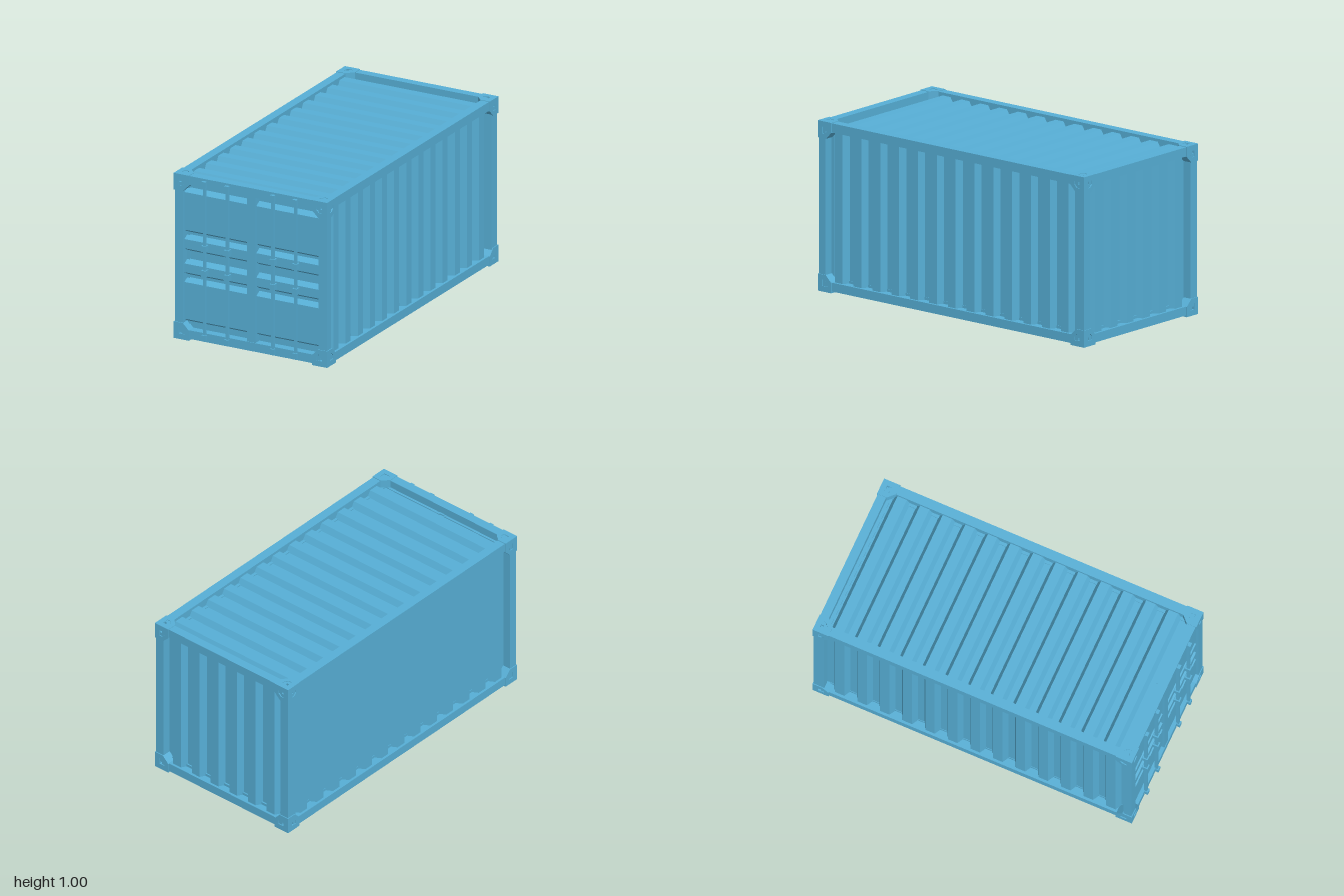
import * as THREE from 'three';
import { mergeGeometries } from 'three/addons/utils/BufferGeometryUtils.js';
import { ConvexGeometry } from 'three/addons/geometries/ConvexGeometry.js';

const V = (x, y, z) => new THREE.Vector3(x, y, z);

// Moves a geometry onto new axes; keeps faces outward when the axes are mirrored
function place(geometry, a, b, c, origin) {
  const g = geometry.index ? geometry.toNonIndexed() : geometry.clone();
  for (const key of Object.keys(g.attributes)) if (key !== 'position') g.deleteAttribute(key);
  g.clearGroups();
  const m = new THREE.Matrix4().makeBasis(a, b, c).setPosition(origin);
  g.applyMatrix4(m);
  if (m.determinant() < 0) {
    const p = g.attributes.position;
    const v1 = V(), v2 = V();
    for (let i = 0; i < p.count; i += 3) {
      v1.fromBufferAttribute(p, i + 1);
      v2.fromBufferAttribute(p, i + 2);
      p.setXYZ(i + 1, v2.x, v2.y, v2.z);
      p.setXYZ(i + 2, v1.x, v1.y, v1.z);
    }
  }
  g.computeVertexNormals();
  return g;
}

const extrude = (shape, depth) => new THREE.ExtrudeGeometry(shape, { depth, bevelEnabled: false });
const polygon = pts => new THREE.Shape(pts.map(p => new THREE.Vector2(p[0], p[1])));

// Trapezoidal profile: raised ribs at the given [start, end] flats, with sloped flanks
function ribProfile(from, to, ribs, rise, slope) {
  const pts = [[from, -0.02], [from, 0]];
  for (const [a, b] of ribs) pts.push([a - slope, 0], [a, rise], [b, rise], [b + slope, 0]);
  pts.push([to, 0], [to, -0.02]);
  return polygon(pts);
}

function evenRibs(centre, count) {
  const pitch = 0.1405, half = 0.029;
  return Array.from({ length: count }, (_, i) => {
    const c = centre + (i - (count - 1) / 2) * pitch;
    return [c - half, c + half];
  });
}

// Corner casting in local coordinates: 0 is the outer face, 0.1 the inner one
function castingGeometry() {
  const t = 0.02, pts = [];
  for (const [a, b, c] of [[t, t, t], [0.1, t, t], [0.1, 0.06, t], [0.1, t, 0.06], [0.1, 0.06, 0.06], [0.08, 0.08, 0.08]]) {
    pts.push(V(a, b, c), V(c, a, b), V(b, c, a));
  }
  const unique = pts.filter((p, i) => pts.findIndex(q => q.distanceTo(p) < 1e-6) === i);
  const X = V(1, 0, 0), Y = V(0, 1, 0), Z = V(0, 0, 1), O = V(0, 0, 0);
  const parts = [place(new ConvexGeometry(unique), X, Y, Z, O)];
  // Three outer plates, each with a lifting hole
  const face = polygon([[0, 0], [0.1, 0], [0.1, 0.06], [0.06, 0.1], [0, 0.1]]);
  const hole = [[0.033, 0.033], [0.033, 0.071], [0.054, 0.071], [0.071, 0.054], [0.071, 0.033]];
  face.holes.push(new THREE.Path(hole.map(p => new THREE.Vector2(p[0], p[1]))));
  const plate = extrude(face, t);
  parts.push(place(plate, X, Y, Z, O), place(plate, Y, Z, X, O), place(plate, Z, X, Y, O));
  return mergeGeometries(parts);
}

export function createModel() {
  const model = new THREE.Group();
  model.name = 'shippingContainer';
  const paint = new THREE.MeshStandardMaterial({ color: 0x56aed5 });
  paint.name = 'container blue';

  const add = (name, geometry, parent = model) => {
    const mesh = new THREE.Mesh(geometry, paint);
    mesh.name = name;
    parent.add(mesh);
    return mesh;
  };
  const box = (name, x0, x1, y0, y1, z0, z1, parent) => {
    const mesh = add(name, new THREE.BoxGeometry(x1 - x0, y1 - y0, z1 - z0), parent);
    mesh.position.set((x0 + x1) / 2, (y0 + y1) / 2, (z0 + z1) / 2);
  };

  // Corner castings
  const casting = castingGeometry();
  for (const sx of [-1, 1]) for (const sy of [-1, 1]) for (const sz of [-1, 1]) {
    add('cornerCasting', place(casting, V(-sx, 0, 0), V(0, -sy, 0), V(0, 0, -sz),
      V(sx * 0.5, sy > 0 ? 1 : 0, sz > 0 ? 0.985 : -1)));
  }

  // Frame: posts, side rails and end rails
  for (const s of [-1, 1]) {
    const [x0, x1] = s > 0 ? [0.44, 0.495] : [-0.495, -0.44];
    box('frontPost', x0, x1, 0.05, 0.95, 0.93, 0.98);
    box('rearPost', x0, x1, 0.05, 0.95, -0.995, -0.93);
    box('topSideRail', x0, x1, 0.943, 0.997, -0.95, 0.95);
    box('bottomSideRail', x0, x1, 0.01, 0.062, -0.95, 0.95);
  }
  for (const [name, y0, y1] of [['Header', 0.943, 0.997], ['Sill', 0.01, 0.062]]) {
    box('front' + name, -0.45, 0.45, y0, y1, 0.925, 0.98);
    box('rear' + name, -0.45, 0.45, y0, y1, -0.995, -0.943);
  }

  // Corrugated side walls
  const side = extrude(ribProfile(-0.935, 0.935, evenRibs(0.003, 13), 0.038, 0.021), 0.9);
  for (const s of [-1, 1]) {
    add('sideWall', place(side, V(0, 0, 1), V(s, 0, 0), V(0, 1, 0), V(s * 0.442, 0.05, 0)));
  }

  // Corrugated roof and floor
  const roof = extrude(ribProfile(-0.95, 0.93, evenRibs(-0.018, 13), 0.035, 0.021), 0.89);
  add('roof', place(roof, V(0, 0, 1), V(0, 1, 0), V(1, 0, 0), V(-0.445, 0.945, 0)));
  add('floor', place(roof, V(0, 0, 1), V(0, -1, 0), V(1, 0, 0), V(-0.445, 0.058, 0)));

  // Corrugated rear wall
  const rear = extrude(ribProfile(-0.445, 0.445, evenRibs(0, 6), 0.038, 0.021), 0.9);
  add('rearWall', place(rear, V(1, 0, 0), V(0, 0, -1), V(0, 1, 0), V(0, 0.05, -0.942)));

  // Doors with horizontal folds, and the centre post between them
  const doorRibs = [[0.12, 0.343], [0.402, 0.455], [0.547, 0.603], [0.66, 0.888]];
  const door = extrude(ribProfile(0.05, 0.95, doorRibs, 0.035, 0.021), 0.43);
  for (const s of [-1, 1]) {
    add('door', place(door, V(0, 1, 0), V(0, 0, 1), V(s, 0, 0), V(s * 0.015, 0, 0.93)));
  }
  box('doorCentrePost', -0.026, 0.028, 0.05, 0.952, 0.915, 0.976);

  // Locking rods with end keepers and handle brackets
  for (const x of [-0.298, -0.15, 0.148, 0.295]) {
    const rod = new THREE.Group();
    rod.name = 'lockingRod';
    model.add(rod);
    box('rodBar', x - 0.008, x + 0.008, 0.03, 0.97, 0.975, 0.992, rod);
    for (const y of [0.036, 0.967]) box('rodKeeper', x - 0.013, x + 0.013, y - 0.018, y + 0.018, 0.97, 1, rod);
    for (const y of [0.428, 0.578]) box('rodBracket', x - 0.015, x + 0.015, y - 0.018, y + 0.018, 0.96, 1, rod);
  }
  return model;
}
